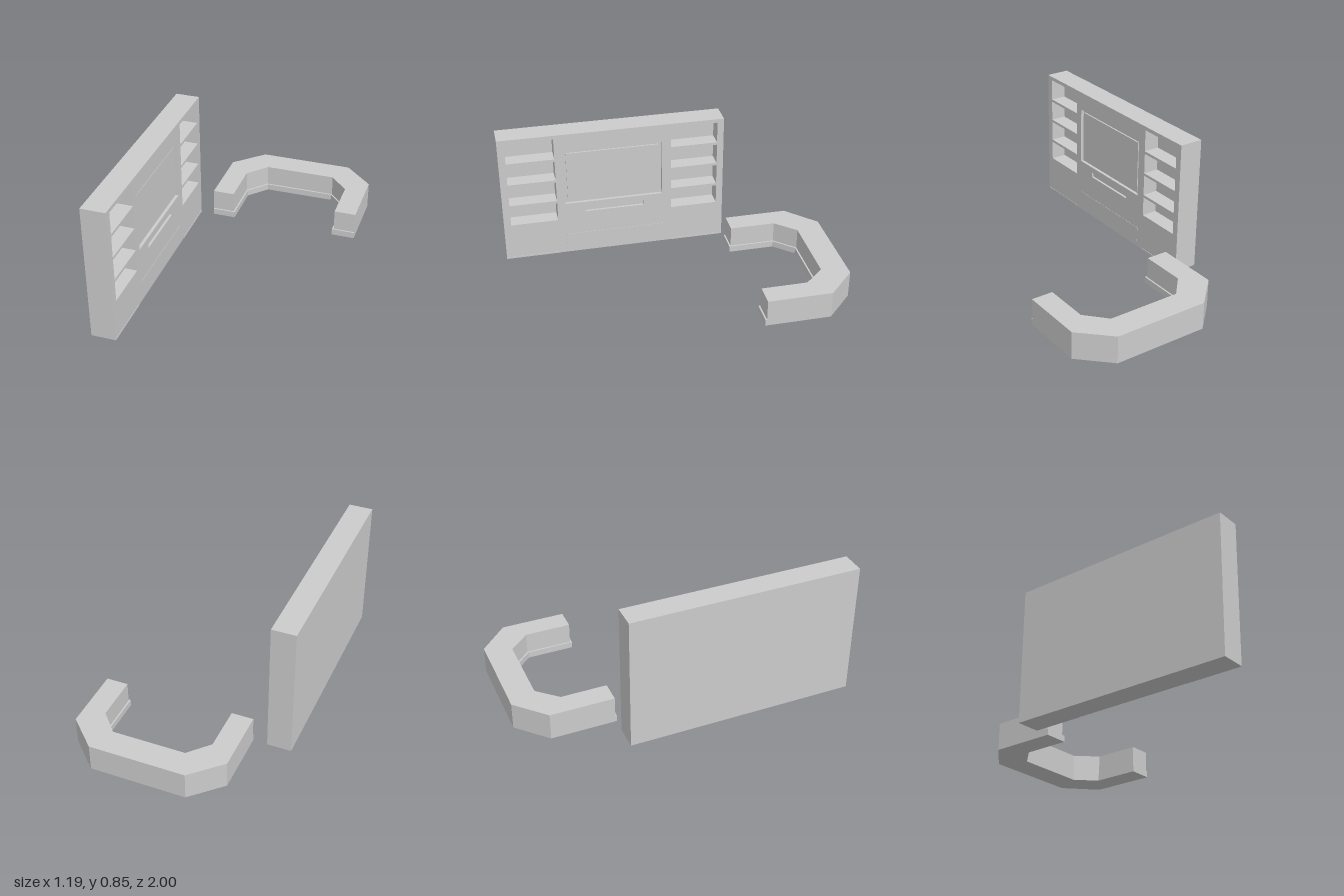
import * as THREE from 'three';

const material = new THREE.MeshStandardMaterial({ color: 0xcccccc, flatShading: true });

function add(group, name, geometry) {
  const mesh = new THREE.Mesh(geometry, material);
  mesh.name = name;
  group.add(mesh);
  return mesh;
}

// Box given by its limits on each axis
function block(group, name, [x0, x1], [y0, y1], [z0, z1]) {
  add(group, name, new THREE.BoxGeometry(x1 - x0, y1 - y0, z1 - z0))
    .position.set((x0 + x1) / 2, (y0 + y1) / 2, (z0 + z1) / 2);
}

// Rectangular outline in the wall plane, drawn with u = -z
function rectangle(target, [y0, y1], [z0, z1]) {
  target.moveTo(-z1, y0);
  target.lineTo(-z0, y0);
  target.lineTo(-z0, y1);
  target.lineTo(-z1, y1);
  target.closePath();
  return target;
}

function createMediaWall() {
  const wall = new THREE.Group();
  wall.name = 'mediaWall';
  const back = -0.597, front = -0.447, nicheBack = front - 0.1;
  const span = [-0.424, 1], height = [0, 0.85];
  const columns = [[0.655, 0.955], [-0.382, -0.083]];
  const rows = [[0.247, 0.372], [0.389, 0.522], [0.538, 0.67], [0.687, 0.826]];
  const screen = { y: [0.36, 0.73], z: [-0.022, 0.604] };
  const slot = { y: [0.29, 0.322], z: [0.097, 0.479] };

  // Front layer pierced by the shelf niches, screen recess and slot
  const face = rectangle(new THREE.Shape(), height, span);
  for (const z of columns) for (const y of rows) face.holes.push(rectangle(new THREE.Path(), y, z));
  for (const r of [screen, slot]) face.holes.push(rectangle(new THREE.Path(), r.y, r.z));
  const geometry = new THREE.ExtrudeGeometry(face, { depth: front - nicheBack, bevelEnabled: false });
  geometry.rotateY(Math.PI / 2).translate(nicheBack, 0, 0);
  add(wall, 'shelfFront', geometry);
  block(wall, 'backPanel', [back, nicheBack], height, span);

  // Shallow recess floors and the screen
  block(wall, 'screenRecess', [nicheBack, front - 0.02], screen.y, screen.z);
  block(wall, 'screen', [front - 0.02, front - 0.01], [0.376, 0.712], [-0.002, 0.584]);
  block(wall, 'speakerRecess', [nicheBack, front - 0.015], slot.y, slot.z);

  // Drawer front and the low strips under the shelves
  block(wall, 'drawerFront', [front - 0.005, front + 0.002], [0.038, 0.135], [-0.03, 0.604]);
  for (const z of [[0.66, 0.998], [-0.422, -0.085]])
    block(wall, 'baseStrip', [front - 0.005, front + 0.002], [0, 0.01], z);
  return wall;
}

// U-shaped layer with chamfered corners; inset narrows the opening
function sofaLayer(group, name, y0, y1, inset, end) {
  const center = 0.118;
  const half = [[0.477, end], [0.477, -0.826], [0.297, -1]];
  const inner = [[0.227, -0.838 + inset], [0.341 - inset, -0.714 + inset * 0.5], [0.341 - inset, end]];
  inner[0][0] -= inset * 0.45;
  const mirror = (points) => points.map(([x, z]) => [-x, z]).reverse();
  const outline = [...half, ...mirror(half), ...mirror(inner), ...inner];
  // Shape y is -z, so the extrusion rises along +y after the turn
  const shape = new THREE.Shape(outline.map(([x, z]) => new THREE.Vector2(center + x, -z)));
  const geometry = new THREE.ExtrudeGeometry(shape, { depth: y1 - y0, bevelEnabled: false });
  geometry.rotateX(-Math.PI / 2).translate(0, y0, 0);
  add(group, name, geometry);
}

export function createModel() {
  const model = new THREE.Group();
  model.name = 'loungeSet';
  model.add(createMediaWall());

  const sofa = new THREE.Group();
  sofa.name = 'curvedSofa';
  sofaLayer(sofa, 'sofaBase', 0, 0.04, 0.01, -0.418);
  sofaLayer(sofa, 'sofaBody', 0.04, 0.172, 0, -0.428);
  model.add(sofa);
  return model;
}
